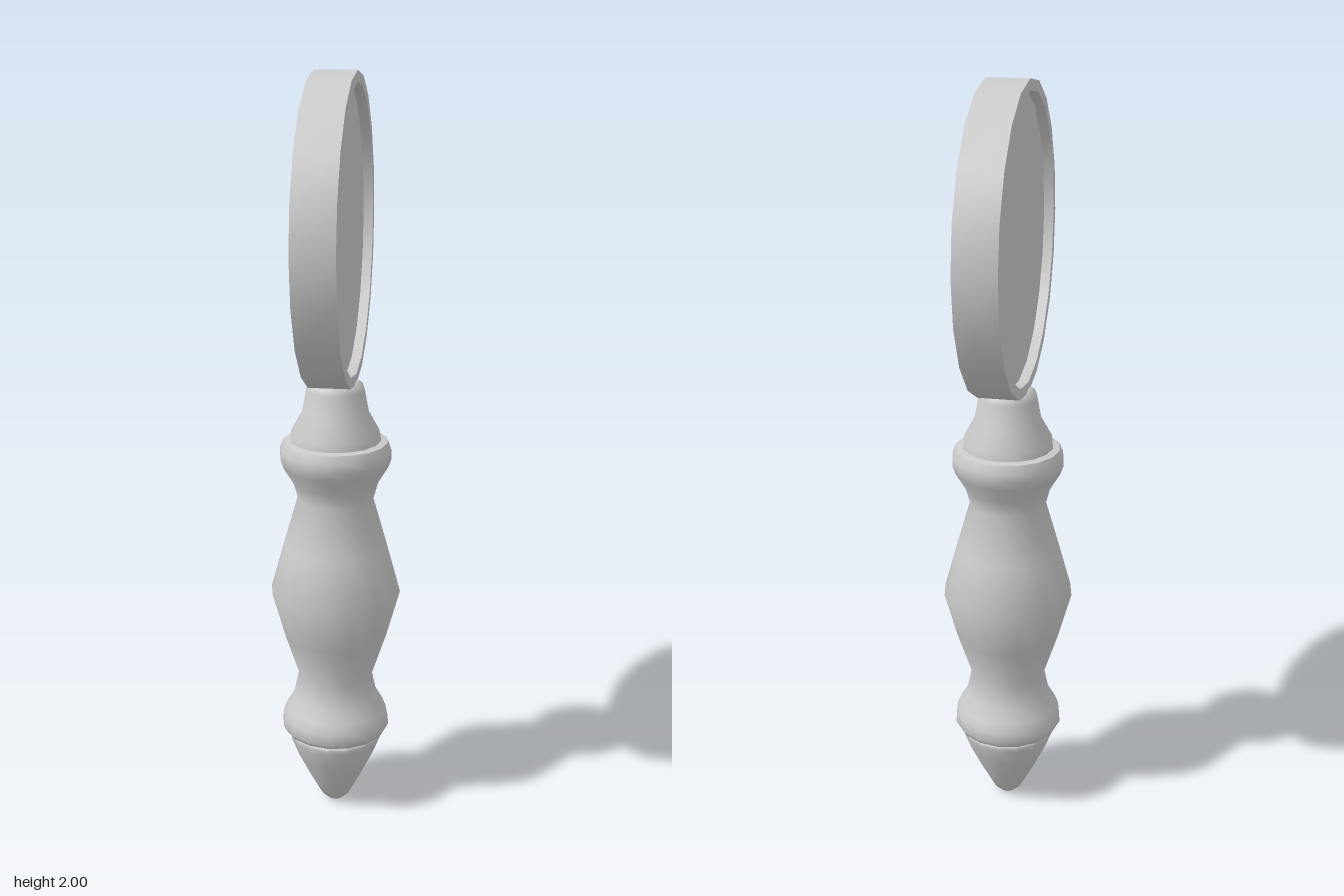
import * as THREE from 'three';
import { toCreasedNormals } from 'three/addons/utils/BufferGeometryUtils.js';

const material = new THREE.MeshStandardMaterial({ color: 0xcccccc });

// Turned part from a [radius, height] profile, listed bottom to top along the outside
function turned(name, profile, sides) {
  const points = profile.map(([r, y]) => new THREE.Vector2(r, y));
  const geometry = toCreasedNormals(new THREE.LatheGeometry(points, sides), 0.85);
  const mesh = new THREE.Mesh(geometry, material);
  mesh.name = name;
  return mesh;
}

export function createModel() {
  const model = new THREE.Group();
  model.name = 'handMagnifier';

  // Turned handle
  const handle = new THREE.Group();
  handle.name = 'handle';
  handle.add(
    turned('pommel', [
      [0, 0], [0.022, 0.003], [0.04, 0.02], [0.072, 0.08], [0.106, 0.15],
      [0.125, 0.2], [0.127, 0.214], [0.12, 0.222], [0, 0.222],
    ], 16),
    turned('grip', [
      [0, 0.22], [0.115, 0.22], [0.14, 0.228], [0.148, 0.242], [0.145, 0.27],
      [0.135, 0.295], [0.115, 0.33], [0.101, 0.395], [0.14, 0.515], [0.175, 0.643],
      [0.14, 0.77], [0.101, 0.905], [0.113, 0.95], [0.14, 0.995], [0.148, 1.018],
      [0.148, 1.04], [0.138, 1.062], [0.115, 1.066], [0, 1.066],
    ], 16),
    turned('ferrule', [
      [0, 1.06], [0.12, 1.06], [0.118, 1.085], [0.088, 1.14], [0.077, 1.2],
      [0.072, 1.215], [0.058, 1.225], [0, 1.225],
    ], 16),
  );
  model.add(handle);

  // Lens head, its axis along x
  const head = new THREE.Group();
  head.name = 'lensHead';
  const outer = 0.392, inner = 0.364, half = 0.054, lens = 0.028;
  head.add(
    turned('rim', [
      [inner, -half], [outer, -half], [outer, half], [inner, half], [inner, -half],
    ], 20),
    turned('lens', [[0, -lens], [inner, -lens], [inner, lens], [0, lens]], 20),
  );
  head.rotation.z = Math.PI / 2;
  head.position.y = 2 - outer;
  model.add(head);

  return model;
}
